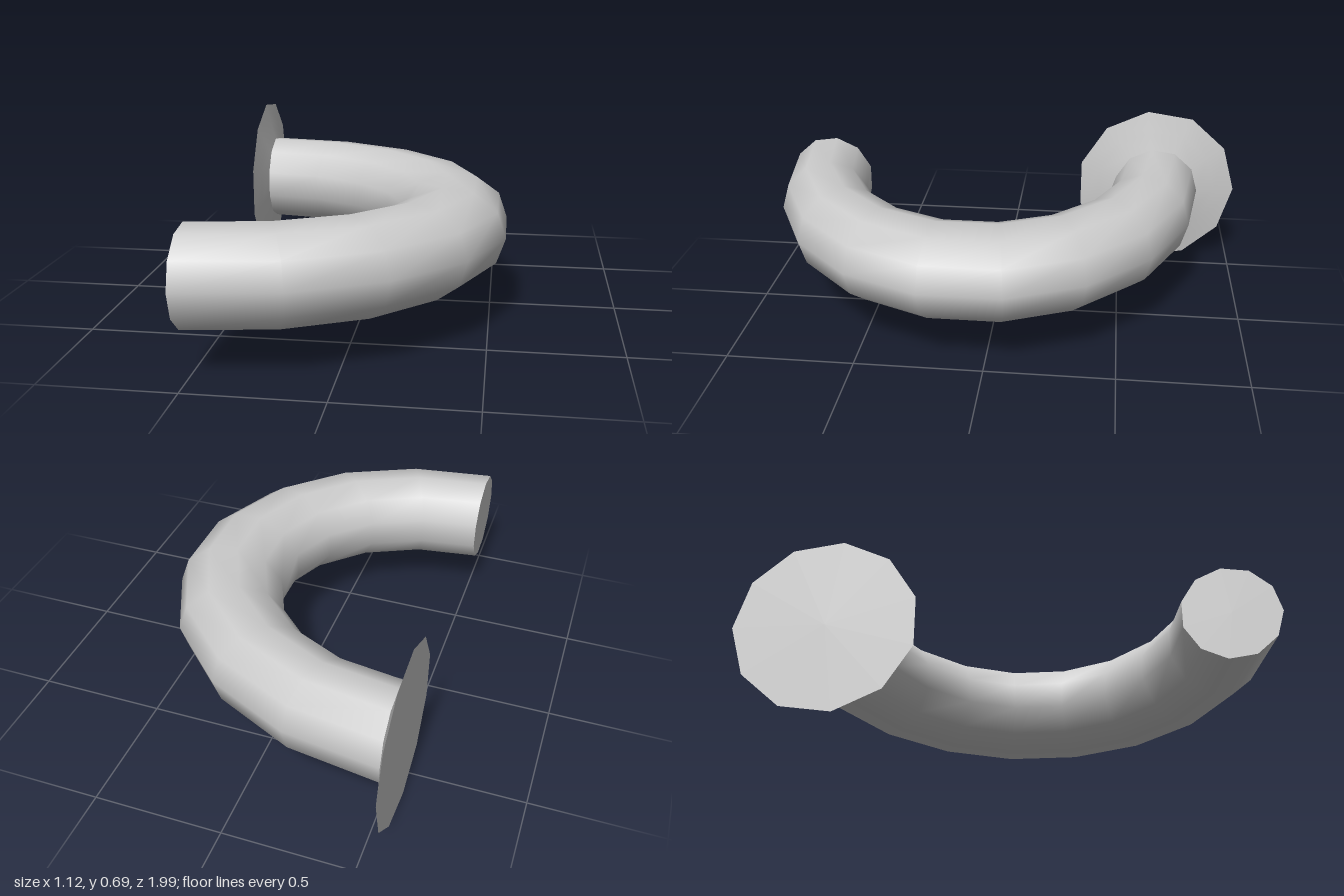
import * as THREE from 'three';

const SIDES = 11;
const RING = 0.733;   // bend radius
const PIPE = 0.182;   // pipe radius
const FLANGE = 0.345; // flange radius
const WALL_X = -0.56, END_X = -0.525;
const CENTER_Y = 0.355, CENTER_Z = 0.08;

export function createModel() {
  const model = new THREE.Group();
  const material = new THREE.MeshStandardMaterial({ color: 0xcccccc });

  const add = (name, geometry, x, z) => {
    const mesh = new THREE.Mesh(geometry, material);
    mesh.name = name;
    mesh.position.set(x, CENTER_Y, z);
    mesh.scale.y = 1.015;
    model.add(mesh);
    return mesh;
  };

  // Flat disc facing -x
  const disc = (radius, start) =>
    new THREE.CircleGeometry(radius, SIDES, start).rotateY(-Math.PI / 2);

  // Half-ring pipe, stretched sideways
  const bend = new THREE.TorusGeometry(RING, PIPE, SIDES, 9, Math.PI)
    .rotateX(-Math.PI / 2)
    .rotateY(-Math.PI / 2)
    .scale(1.2, 1, 1);
  add('bentPipe', bend, END_X, CENTER_Z);

  // Closed free end
  add('pipeEnd', disc(PIPE, 0), END_X, CENTER_Z + RING);

  // Flared wall flange and its back
  const flare = new THREE.LatheGeometry(
    [[FLANGE, 0], [0.26, 0.017], [PIPE, END_X - WALL_X]].map(([r, h]) => new THREE.Vector2(r, h)),
    SIDES, Math.PI
  ).rotateZ(-Math.PI / 2);
  add('flange', flare, WALL_X, CENTER_Z - RING);
  add('flangeBack', disc(FLANGE, Math.PI), WALL_X, CENTER_Z - RING);

  return model;
}
